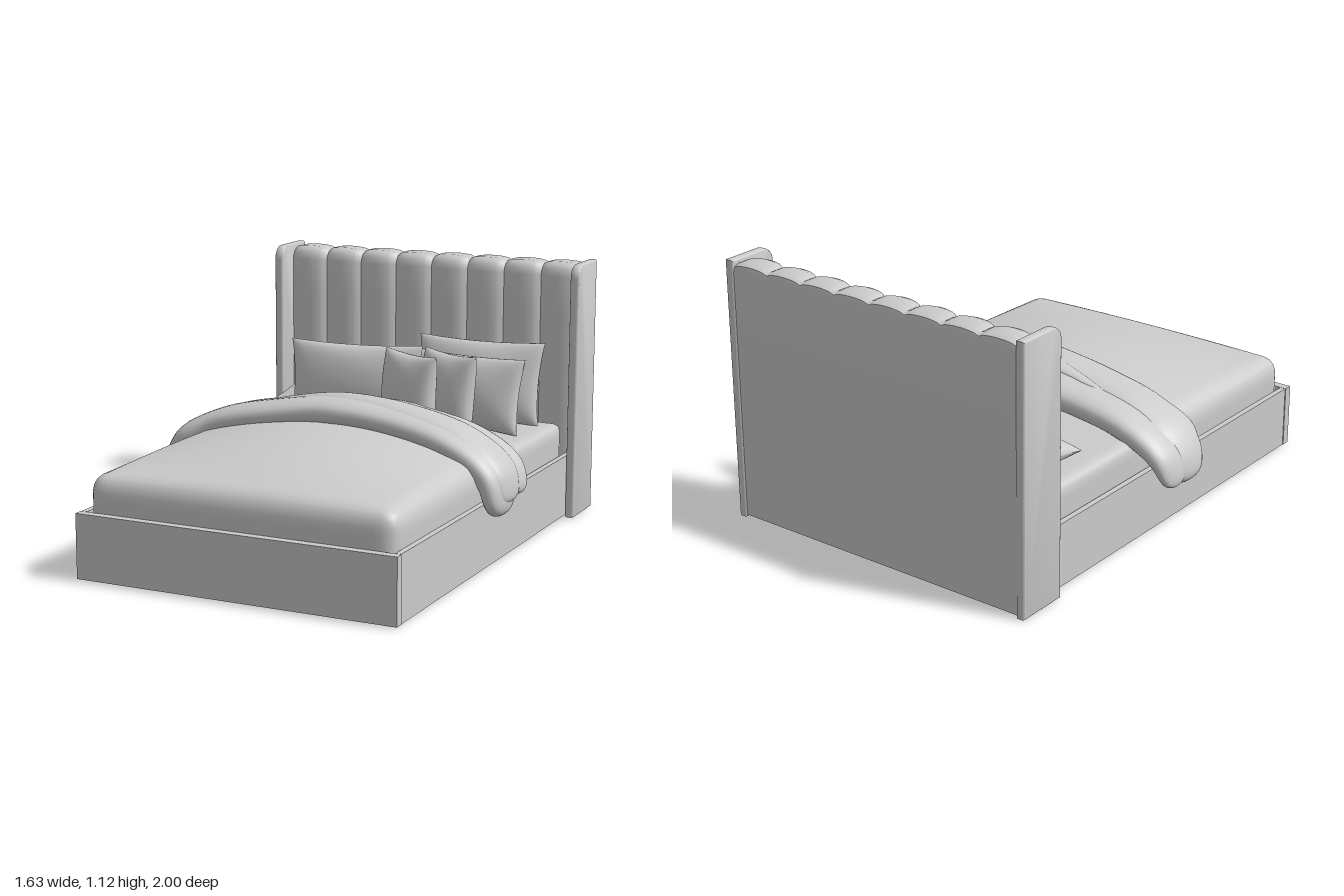
import * as THREE from 'three';
import { mergeVertices, mergeGeometries, toCreasedNormals } from 'three/addons/utils/BufferGeometryUtils.js';

const CX = 0.025; // centre line of the bed frame
const material = new THREE.MeshStandardMaterial({ color: 0xcccccc, roughness: 0.8 });

function mesh(name, geometry, x = 0, y = 0, z = 0) {
  const m = new THREE.Mesh(geometry, material);
  m.name = name;
  m.position.set(x, y, z);
  return m;
}

// Weld seams and recompute smooth normals
function smooth(geometry) {
  geometry.deleteAttribute('uv');
  geometry.deleteAttribute('normal');
  const g = mergeVertices(geometry, 1e-5);
  g.computeVertexNormals();
  return g;
}

// Surface over u, v in 0..1; it faces du x dv
function surface(nu, nv, fn) {
  const g = new THREE.PlaneGeometry(1, 1, nu, nv);
  const p = g.attributes.position;
  for (let i = 0; i < p.count; i++) {
    p.setXYZ(i, ...fn(p.getX(i) + 0.5, p.getY(i) + 0.5));
  }
  return smooth(g);
}

function box(name, x0, x1, y0, y1, z0, z1) {
  return mesh(name, new THREE.BoxGeometry(x1 - x0, y1 - y0, z1 - z0),
    (x0 + x1) / 2, (y0 + y1) / 2, (z0 + z1) / 2);
}

// Finely divided box with rounded edges; crown(x, z) lifts its upper half
function softBox(w, h, d, r, crown = () => 0) {
  const g = new THREE.BoxGeometry(w, h, d, 44, 12, 44);
  const p = g.attributes.position;
  const v = new THREE.Vector3(), inner = new THREE.Vector3();
  const lim = new THREE.Vector3(w / 2 - r, h / 2 - r, d / 2 - r);
  for (let i = 0; i < p.count; i++) {
    v.fromBufferAttribute(p, i);
    inner.copy(v).clamp(lim.clone().negate(), lim);
    v.sub(inner).setLength(r).add(inner);
    v.y += crown(v.x, v.z) * (v.y / h + 0.5);
    p.setXYZ(i, v.x, v.y, v.z);
  }
  return smooth(g);
}

// Pillow: two domed faces meeting in a seam, with pulled-out corners
function pillow(name, w, h, t, pos, yaw, lean) {
  const face = (s) => surface(22, 22, (a, b) => {
    const u = Math.sin((a - 0.5) * Math.PI) * s, v = Math.sin((b - 0.5) * Math.PI);
    const dome = Math.pow(Math.max(0, (1 - u * u) * (1 - v * v)), 0.42);
    const crease = 1 + 0.06 * Math.sin(5 * u + 3 * v) * (u * u + v * v);
    return [
      u * w / 2 * (1 - 0.06 * (1 - v * v)),
      v * h / 2 * (1 - 0.07 * (1 - u * u)),
      s * t / 2 * dome * crease,
    ];
  });
  const m = mesh(name, mergeGeometries([face(1), face(-1)]), ...pos);
  m.rotation.set(lean, yaw, 0, 'YXZ');
  return m;
}

// Stuffed roll along stations of [x, y, z, half width, half thickness]
function roll(name, stations) {
  const path = new THREE.CatmullRomCurve3(stations.map((s) => new THREE.Vector3(s[0], s[1], s[2])));
  const size = new THREE.CatmullRomCurve3(stations.map((s) => new THREE.Vector3(s[3], s[4], 0)));
  return mesh(name, surface(72, 28, (u, v) => {
    const t = (1 - Math.cos(u * Math.PI)) / 2;
    const c = path.getPoint(t), k = size.getPoint(t), d = path.getTangent(t);
    const len = Math.hypot(d.x, d.y);
    const end = Math.sqrt(Math.max(0, 1 - Math.pow(Math.abs(2 * t - 1), 24)));
    const ang = v * Math.PI * 2, cs = Math.cos(ang), sn = Math.sin(ang);
    const a = k.x * end * Math.sign(cs) * Math.pow(Math.abs(cs), 0.85);
    const b = k.y * end * Math.sign(sn) * Math.pow(Math.abs(sn), 0.85);
    return [c.x - d.y / len * b, c.y + d.x / len * b, c.z + a];
  }));
}

// Headboard panel with vertical padded channels, rounded over the top
function channelPanel() {
  const profile = [[-0.85, 0.01], [-0.85, 0.3], [-0.85, 0.6], [-0.85, 0.9], [-0.85, 1.06],
    [-0.855, 1.09], [-0.87, 1.11], [-0.895, 1.12], [-0.97, 1.12], [-0.99, 1.11],
    [-0.995, 1.09], [-0.995, 0.6], [-0.995, 0.01], [-0.85, 0.01]];
  const channels = 8, n = profile.length - 1;
  const g = surface(channels * 10, n, (u, v) => {
    const i = Math.round(v * n);
    const [z, y] = profile[i];
    const groove = 1 - Math.pow(Math.abs(Math.sin(u * channels * Math.PI)), 0.5);
    const front = i < 8 || i === n ? 0.028 : 0;
    const top = i > 4 && i < 11 ? 0.014 : 0;
    return [CX + (u - 0.5) * 1.41, y - top * groove, z - front * groove];
  });
  return mesh('headboardChannels', toCreasedNormals(g, 0.8));
}

// Side wing with a rounded upper front corner
function wing() {
  const b = 0.01, z0 = -1 + b, z1 = -0.77 - b, y0 = b, y1 = 1.125 - b, r = 0.045;
  const s = new THREE.Shape();
  s.moveTo(z0, y0);
  s.lineTo(z1, y0);
  s.lineTo(z1, y1 - r);
  s.absarc(z1 - r, y1 - r, r, 0, Math.PI / 2, false);
  s.lineTo(z0, y1);
  s.closePath();
  const g = new THREE.ExtrudeGeometry(s, {
    depth: 0.022, bevelEnabled: true, bevelSize: b, bevelThickness: b, bevelSegments: 4, curveSegments: 10,
  });
  g.translate(0, 0, -0.011).rotateY(-Math.PI / 2);
  return toCreasedNormals(g, 0.6);
}

export function createModel() {
  const bed = new THREE.Group();
  bed.name = 'bed';

  // Frame
  bed.add(box('footboard', -0.675, 0.725, 0.005, 0.275, 0.962, 1));
  bed.add(box('basePanel', -0.665, 0.715, 0, 0.02, -0.9, 0.97));
  for (const s of [-1, 1]) {
    const x = CX + s * 0.685;
    bed.add(box('sideRail', x - 0.0125, x + 0.0125, 0.005, 0.275, -0.86, 0.96));
    bed.add(mesh('headboardWing', wing(), CX + s * 0.724));
  }
  bed.add(channelPanel());

  // Mattress and the crowned cover over its foot end
  bed.add(mesh('mattress', softBox(1.33, 0.39, 1.75, 0.035), CX, 0.22, 0.05));
  const crown = (x, z) => 0.105 * Math.max(0, 1 - (x / 0.67) ** 2)
    * Math.sin(Math.min(1, (0.49 - z) / 0.75) * Math.PI / 2);
  bed.add(mesh('bedCover', softBox(1.345, 0.4, 0.98, 0.07, crown), CX, 0.225, 0.47));

  // Folded duvet: front roll, rear roll and the diagonal flap on top
  const duvet = new THREE.Group();
  duvet.name = 'foldedDuvet';
  duvet.add(roll('duvetFrontRoll', [
    [-0.785, 0.225, 0.0, 0.1, 0.05], [-0.73, 0.36, 0.015, 0.115, 0.055], [-0.57, 0.465, 0.02, 0.115, 0.055],
    [-0.3, 0.53, 0.02, 0.115, 0.055], [0, 0.568, 0.025, 0.115, 0.055], [0.3, 0.55, 0.04, 0.12, 0.055],
    [0.57, 0.485, 0.06, 0.13, 0.055], [0.72, 0.385, 0.08, 0.125, 0.055], [0.77, 0.22, 0.09, 0.11, 0.045],
  ]));
  duvet.add(roll('duvetRearRoll', [
    [-0.8, 0.24, -0.1, 0.075, 0.025], [-0.74, 0.36, -0.11, 0.085, 0.045], [-0.57, 0.455, -0.11, 0.095, 0.055],
    [-0.3, 0.51, -0.11, 0.105, 0.06], [0, 0.535, -0.11, 0.105, 0.06], [0.3, 0.525, -0.11, 0.105, 0.06],
    [0.57, 0.47, -0.1, 0.1, 0.055], [0.73, 0.39, -0.075, 0.09, 0.045], [0.79, 0.28, -0.065, 0.07, 0.03],
  ]));
  duvet.add(roll('duvetFlap', [
    [-0.45, 0.52, -0.075, 0.015, 0.02], [-0.25, 0.568, -0.06, 0.035, 0.025], [0, 0.597, -0.03, 0.065, 0.035],
    [0.3, 0.577, 0.01, 0.09, 0.04], [0.58, 0.51, 0.035, 0.105, 0.04], [0.745, 0.4, 0.05, 0.11, 0.04],
    [0.79, 0.27, 0.06, 0.1, 0.03],
  ]));
  bed.add(duvet);

  // Pillows and cushions
  bed.add(pillow('flatPillow', 0.6, 0.4, 0.16, [-0.275, 0.485, -0.64], 0, -1.45));
  bed.add(pillow('rearPillow', 0.6, 0.37, 0.15, [0.315, 0.59, -0.75], 0, -0.2));
  bed.add(pillow('middlePillow', 0.6, 0.33, 0.16, [0.315, 0.575, -0.56], -0.16, -0.2));
  bed.add(pillow('frontPillow', 0.61, 0.36, 0.14, [-0.145, 0.59, -0.45], 0.12, -0.06));
  bed.add(pillow('rearCushion', 0.33, 0.34, 0.15, [0.31, 0.6, -0.41], -0.46, -0.1));
  bed.add(pillow('frontCushion', 0.33, 0.34, 0.15, [0.165, 0.6, -0.33], -0.46, -0.06));
  return bed;
}
